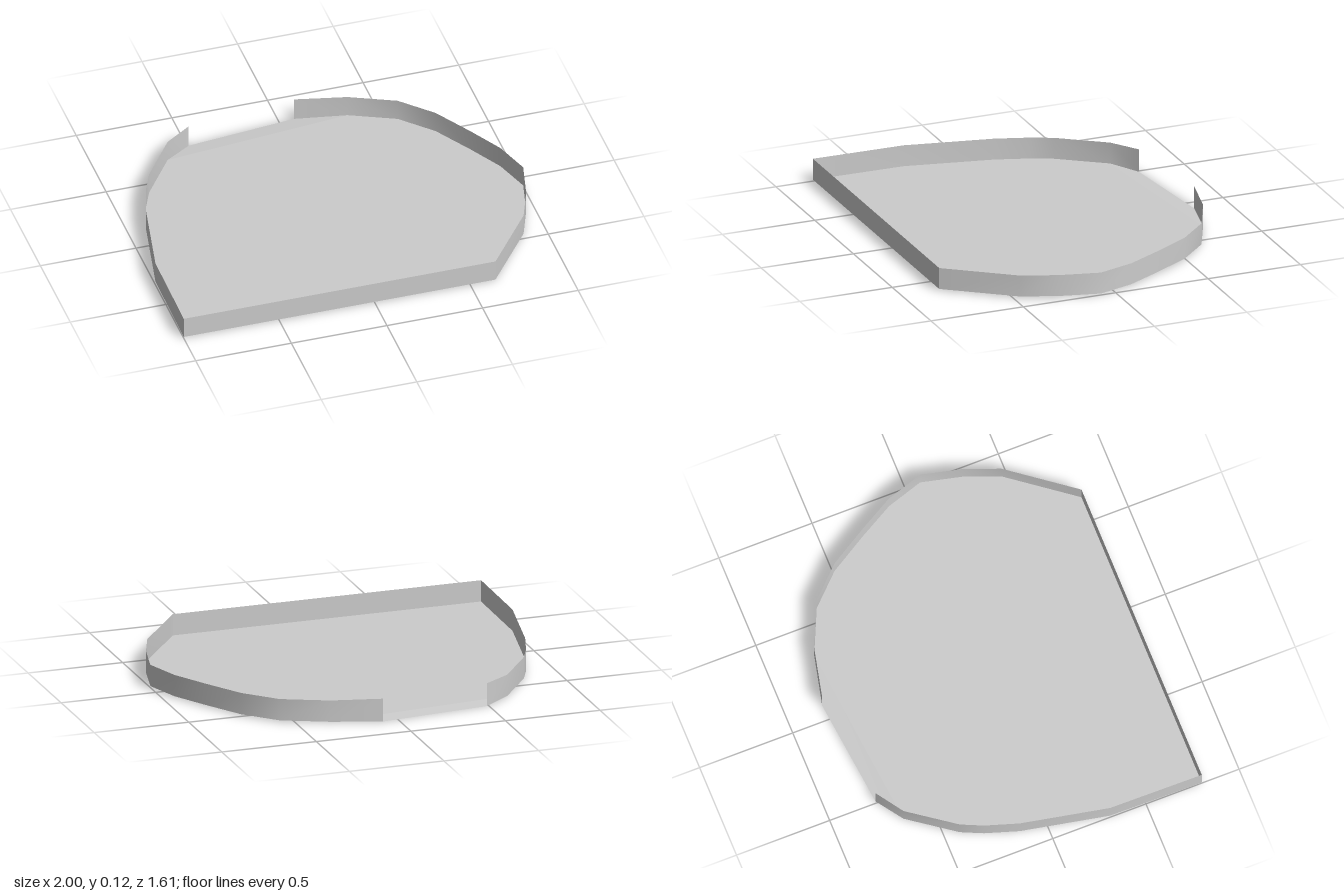
import * as THREE from 'three';

const FLOOR = 0.008, RIM = 0.12;

// Outline as [x, z]; the gap in the wall lies between the two sides at the back
const rightSide = [[-1, 0.8], [-0.995, 0.31], [-0.905, -0.14], [-0.85, -0.31], [-0.8, -0.42], [-0.63, -0.655], [-0.49, -0.75]];
const leftSide = [[0.08, -0.81], [0.34, -0.75], [0.57, -0.645], [0.72, -0.49], [0.84, -0.29], [0.94, -0.11], [1, 0.08], [0.95, 0.29], [0.88, 0.47], [0.63, 0.8]];
const frontSide = [[0.63, 0.8], [-1, 0.8]];

// Smooth strip between two rows of points
function strip(lower, upper) {
  const geo = new THREE.BufferGeometry();
  const index = [];
  const n = lower.length;
  for (let i = 0; i < n - 1; i++) index.push(i, n + i, i + 1, i + 1, n + i, n + i + 1);
  geo.setAttribute('position', new THREE.Float32BufferAttribute([...lower, ...upper].flat(), 3));
  geo.setIndex(index);
  geo.computeVertexNormals();
  return geo;
}

export function createModel() {
  const group = new THREE.Group();
  const grey = new THREE.MeshStandardMaterial({ color: 0xcccccc, side: THREE.DoubleSide });
  grey.name = 'light grey';
  const add = (name, geo) => {
    const mesh = new THREE.Mesh(geo, grey);
    mesh.name = name;
    group.add(mesh);
  };

  // The two ends of the gap dip down to the ground
  const gapEnds = [rightSide.at(-1), leftSide[0]];
  const baseHeight = (p) => (gapEnds.includes(p) ? 0 : FLOOR);

  // Flat floor, without the gap corners
  const outline = [...rightSide.slice(0, -1), ...leftSide.slice(1)];
  const floor = new THREE.ShapeGeometry(new THREE.Shape(outline.map(([x, z]) => new THREE.Vector2(x, -z))));
  floor.rotateX(-Math.PI / 2).translate(0, FLOOR, 0);
  add('floor', floor);

  // Shallow ramp from the floor down to the gap
  const at = (p) => [p[0], baseHeight(p), p[1]];
  add('gapRamp', strip([rightSide.at(-2), leftSide[1]].map(at), gapEnds.map(at)).toNonIndexed());

  // Thin upright walls
  for (const [name, path] of Object.entries({ rightWall: rightSide, leftWall: leftSide, frontWall: frontSide })) {
    add(name, strip(path.map(at), path.map(([x, z]) => [x, RIM, z])));
  }
  return group;
}
